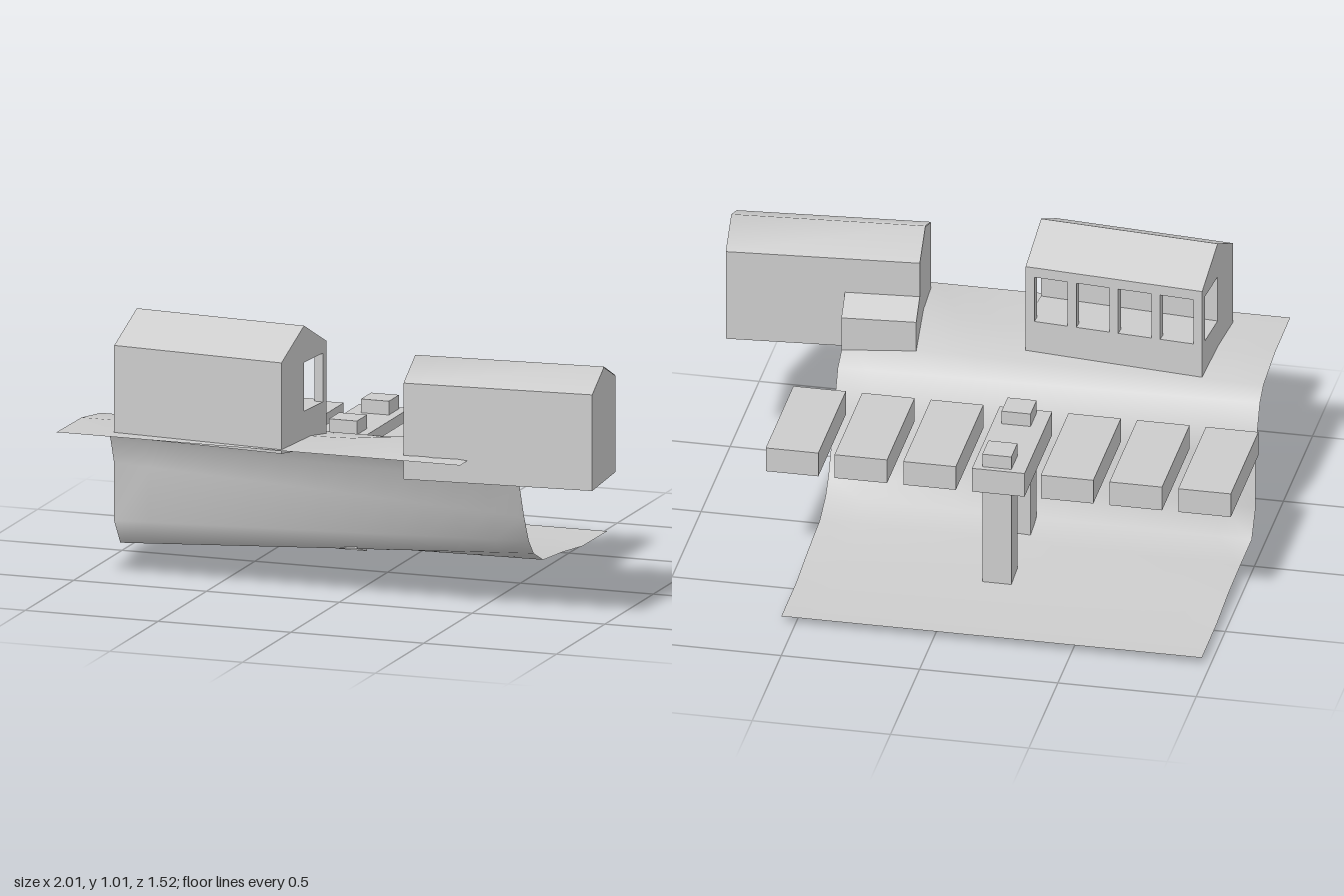
import * as THREE from 'three';

const material = new THREE.MeshStandardMaterial({ color: 0xcccccc, side: THREE.DoubleSide });

function add(parent, name, geometry, x = 0, y = 0, z = 0) {
  const mesh = new THREE.Mesh(geometry, material);
  mesh.name = name;
  mesh.position.set(x, y, z);
  parent.add(mesh);
  return mesh;
}

// Box given by its lower and upper limits on each axis
function block(parent, name, [x0, x1], [y0, y1], [z0, z1]) {
  const g = new THREE.BoxGeometry(x1 - x0, y1 - y0, z1 - z0);
  return add(parent, name, g, (x0 + x1) / 2, (y0 + y1) / 2, (z0 + z1) / 2);
}

// Outline of [z, y] points extruded along x
function prism(parent, name, outline, x0, x1) {
  const shape = new THREE.Shape(outline.map(([z, y]) => new THREE.Vector2(-z, y)));
  const g = new THREE.ExtrudeGeometry(shape, { depth: x1 - x0, bevelEnabled: false });
  g.rotateY(Math.PI / 2);
  return add(parent, name, g, x0);
}

// Hillside: steep cliff profile at one end blends into a gentle slope at the other
function hillside() {
  const steep = [[0.76, 0.6], [0.5, 0.597], [0.3, 0.57], [0.24, 0.53], [0.2, 0.45], [0.165, 0.36],
    [0.165, 0.15], [0.1, 0.055], [-0.1, 0.055], [-0.3, 0.05], [-0.5, 0.032], [-0.76, 0.03]];
  const gentle = [[0.76, 0.6], [0.5, 0.6], [0.3, 0.57], [0.21, 0.52], [0.15, 0.4], [0.1, 0.27],
    [0.05, 0.17], [0, 0.115], [-0.1, 0.07], [-0.3, 0.055], [-0.5, 0.032], [-0.76, 0.03]];
  const cols = 12, rows = steep.length;
  const g = new THREE.PlaneGeometry(1, 1, cols, rows - 1);
  const p = g.attributes.position;
  for (let r = 0; r < rows; r++) {
    for (let c = 0; c <= cols; c++) {
      const t = c / cols;
      const x = -0.97 + 1.52 * t;
      const z = THREE.MathUtils.lerp(steep[r][0], gentle[r][0], t);
      const y = THREE.MathUtils.lerp(steep[r][1], gentle[r][1], t);
      const hump = 0.03 * Math.exp(-(((x - 0.3) / 0.18) ** 2) - (((z - 0.5) / 0.12) ** 2));
      p.setXYZ(r * (cols + 1) + c, x, y + hump, z);
    }
  }
  // Rows run from +z to -z, so flip the winding to face up
  const index = Array.from(g.index.array);
  for (let i = 0; i < index.length; i += 3) [index[i], index[i + 1]] = [index[i + 1], index[i]];
  g.setIndex(index);
  g.computeVertexNormals();
  return g;
}

// Hollow pillar, open at the foot, with the foot cut on a slant
function pillar(parent, z0, z1, footBack, footFront) {
  const top = 0.555;
  const g = new THREE.BoxGeometry(0.105, 1, z1 - z0);
  const p = g.attributes.position;
  for (let i = 0; i < p.count; i++) {
    p.setY(i, p.getY(i) > 0 ? top : p.getZ(i) < 0 ? footBack : footFront);
  }
  const index = Array.from(g.index.array);
  index.splice(18, 6); // bottom face
  g.setIndex(index);
  add(parent, 'pillar', g, -0.15, 0, (z0 + z1) / 2);
}

// House with an open porch along its back
function porchHouse() {
  const house = new THREE.Group();
  house.name = 'porchHouse';
  const h = 0.326, w = 0.19;
  prism(house, 'room', [[w, 0.585], [w, 0.915], [0, 1.01], [0, 0.56]], -h, h);
  prism(house, 'porchRoof', [[0, 1.01], [-w, 0.915], [-w, 0.877], [0, 0.877]], -h, h);
  block(house, 'porchBase', [-h, h], [0.55, 0.7], [-w, 0]);
  for (let i = 0; i < 5; i++) {
    const x = -h + 0.016 + i * (2 * h - 0.032) / 4;
    block(house, 'porchPost', [x - 0.016, x + 0.016], [0.7, 0.877], [-w, -w + 0.032]);
  }
  house.position.set(-0.4375, 0, 0.527);
  house.rotation.y = -0.085;
  return house;
}

// Closed house with a small lean-to at its back
function closedHouse() {
  const house = new THREE.Group();
  house.name = 'closedHouse';
  const h = 0.346, w = 0.155;
  prism(house, 'walls', [[w, 0.52], [w, 0.869], [0, 0.934], [-w, 0.869], [-w, 0.52]], -h, h);
  // Roof sheet shaded softly over the ridge
  const roof = new THREE.PlaneGeometry(2 * h, 2 * w, 1, 2).rotateX(-Math.PI / 2);
  const p = roof.attributes.position;
  for (let i = 0; i < p.count; i++) p.setY(i, Math.abs(p.getZ(i)) < 0.01 ? 0.937 : 0.871);
  roof.computeVertexNormals();
  add(house, 'roof', roof);
  const back = -w - 0.1;
  prism(house, 'leanTo', [[-w, 0.52], [-w, 0.735], [back, 0.685], [back, 0.52]], -h, -h + 0.267);
  house.position.set(0.65, 0, 0.524);
  house.rotation.y = 0.08;
  return house;
}

export function createModel() {
  const model = new THREE.Group();
  model.name = 'hillsideSettlement';
  add(model, 'hillside', hillside());

  // Row of deck slabs carried past the slope
  for (let i = 0; i < 7; i++) {
    const x = -1 + i * 0.2485;
    block(model, 'deckSlab', [x, x + 0.19], [0.412, 0.505], [-0.405, 0.07]);
  }
  pillar(model, -0.385, -0.28, 0.003, 0.015);
  pillar(model, -0.055, 0.05, 0.06, 0.09);

  model.add(porchHouse(), closedHouse());
  return model;
}
